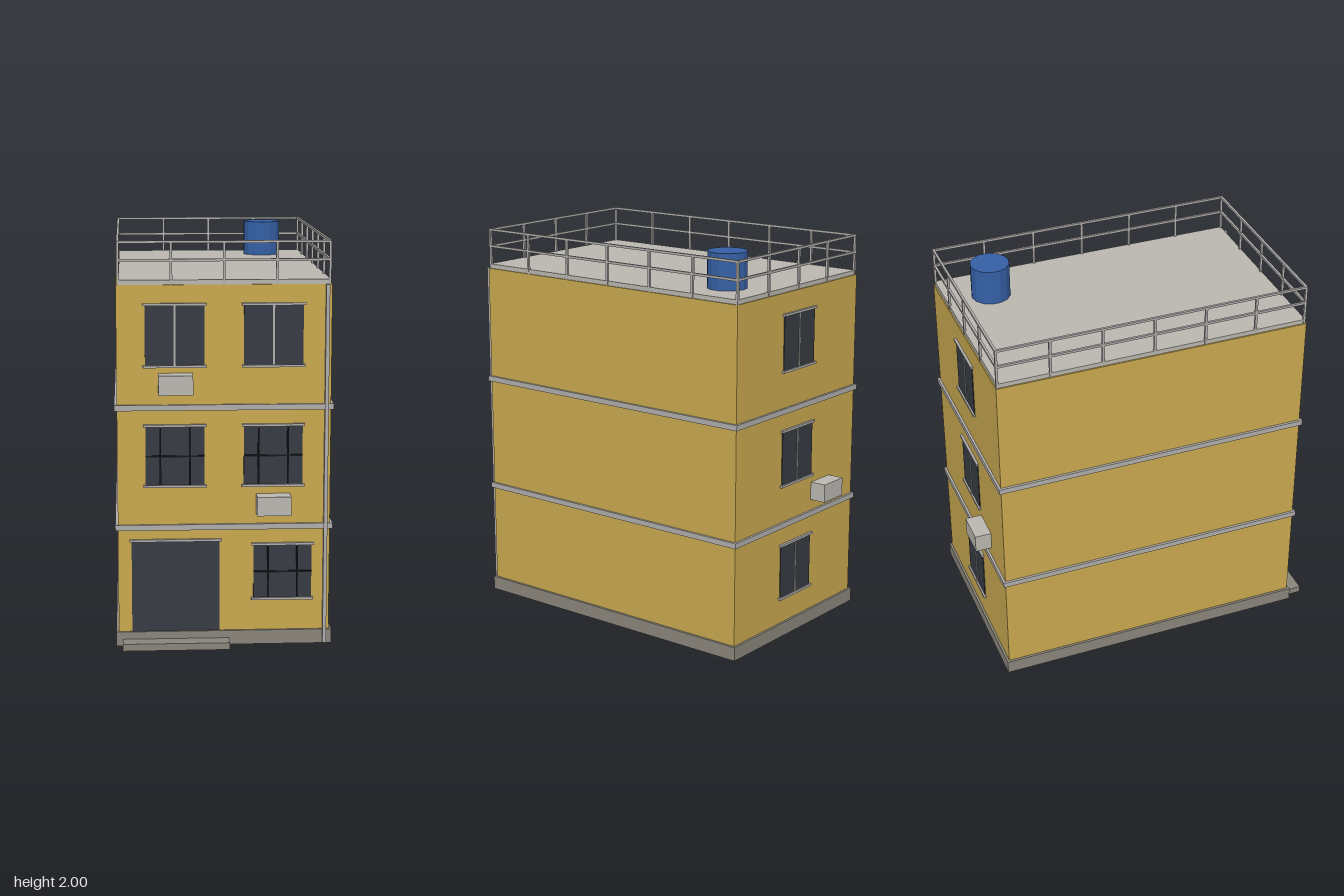
import * as THREE from 'three';

const mat = (name, color, opts = {}) => {
  const m = new THREE.MeshStandardMaterial({ color, ...opts });
  m.name = name;
  return m;
};

export function createModel() {
  const wall = mat('ochre wall', 0xc9a950);
  const trim = mat('grey trim', 0xb0aeac);
  const concrete = mat('light concrete', 0xbab7b0);
  const base = mat('dark concrete', 0x8a857b);
  const glass = mat('dark glass', 0x373b42);
  const bar = mat('black bar', 0x15171a);
  const blue = mat('blue plastic', 0x3560a5, { flatShading: true });

  const model = new THREE.Group();
  model.name = 'building';

  // Box given by its minimum and maximum on each axis
  const box = (name, m, x0, x1, y0, y1, z0, z1, parent = model) => {
    const mesh = new THREE.Mesh(new THREE.BoxGeometry(x1 - x0, y1 - y0, z1 - z0), m);
    mesh.position.set((x0 + x1) / 2, (y0 + y1) / 2, (z0 + z1) / 2);
    mesh.name = name;
    parent.add(mesh);
    return mesh;
  };

  const FRONT = 0.805, BACK = -0.813;

  // Main volume, plinth, floor bands and roof
  box('walls', wall, -0.52, 0.52, 0, 1.79, BACK, FRONT);
  box('plinth', base, -0.533, 0.533, 0.001, 0.072, BACK - 0.012, FRONT + 0.012);
  for (const y of [0.6, 1.195])
    box('floorBand', trim, -0.533, 0.533, y - 0.014, y + 0.014, BACK - 0.012, FRONT + 0.012);
  box('roofSlab', concrete, -0.513, 0.513, 1.785, 1.813, BACK + 0.006, FRONT - 0.005);
  box('doorStep', base, -0.5, 0.024, 0, 0.035, FRONT, 0.898);
  box('drainPipe', trim, 0.488, 0.506, 0.005, 1.79, FRONT - 0.002, 0.83);

  // Window in a group whose local +z points out of the wall
  const opening = (name, x, y0, y1, w, style, back = false) => {
    const g = new THREE.Group();
    g.name = name;
    const h = w / 2;
    box('pane', glass, -h, h, y0, y1, -0.002, 0.004, g);
    box('lintel', trim, -h - 0.01, h + 0.01, y1, y1 + 0.012, -0.002, 0.013, g);
    if (style !== 'door')
      box('sill', trim, -h - 0.01, h + 0.01, y0 - 0.01, y0 + 0.002, -0.002, 0.013, g);
    if (style === 'mullion')
      box('mullion', trim, -0.005, 0.005, y0, y1, 0.002, 0.008, g);
    if (style === 'grille') {
      for (const x of [-w / 4, w / 4])
        box('uprightBar', bar, x - 0.004, x + 0.004, y0, y1, 0.002, 0.011, g);
      const m = (y0 + y1) / 2;
      box('crossBar', bar, -h, h, m - 0.004, m + 0.004, 0.002, 0.01, g);
    }
    g.position.set(x, 0, back ? BACK : FRONT);
    if (back) g.rotation.y = Math.PI;
    model.add(g);
  };

  // Front openings
  for (const s of [-1, 1]) {
    opening('topFloorWindow', s * 0.239, 1.4, 1.69, 0.287, 'mullion');
    opening('middleFloorWindow', s * 0.239, 0.81, 1.1, 0.287, 'grille');
  }
  opening('groundFloorWindow', 0.288, 0.236, 0.504, 0.287, 'grille');
  opening('garageDoor', -0.238, 0.072, 0.528, 0.432, 'door');

  // Back windows, one per floor
  for (const y of [0.21, 0.81, 1.4])
    opening('backWindow', 0, y, y + 0.275, 0.264, 'mullion', true);

  // Air conditioners
  box('airConditioner', concrete, -0.319, -0.153, 1.268, 1.363, FRONT - 0.002, 0.89);
  box('airConditioner', concrete, 0.156, 0.322, 0.67, 0.764, FRONT - 0.002, 0.89);
  box('airConditioner', concrete, -0.302, -0.136, 0.67, 0.764, -0.898, BACK + 0.002);

  // Roof railing
  const railing = new THREE.Group();
  railing.name = 'railing';
  model.add(railing);
  const t = 0.006, X = 0.509, ZF = FRONT - 0.009, ZB = BACK + 0.009;
  for (const y of [1.907, 1.994]) {
    for (const z of [ZF, ZB]) box('crossRail', trim, -X - t, X + t, y - t, y + t, z - t, z + t, railing);
    for (const x of [-X, X]) box('sideRail', trim, x - t, x + t, y - t, y + t, ZB, ZF, railing);
  }
  const post = (x, z) => box('post', trim, x - t, x + t, 1.79, 1.994, z - t, z + t, railing);
  for (let i = 0; i <= 4; i++)
    for (const z of [ZF, ZB]) post(-X + (i * 2 * X) / 4, z);
  for (let i = 1; i < 6; i++)
    for (const x of [-X, X]) post(x, ZB + (i * (ZF - ZB)) / 6);

  // Water tank
  const tank = new THREE.Mesh(new THREE.CylinderGeometry(0.1, 0.1, 0.183, 14), blue);
  tank.name = 'waterTank';
  tank.position.set(0.284, 1.9035, -0.578);
  model.add(tank);

  return model;
}
